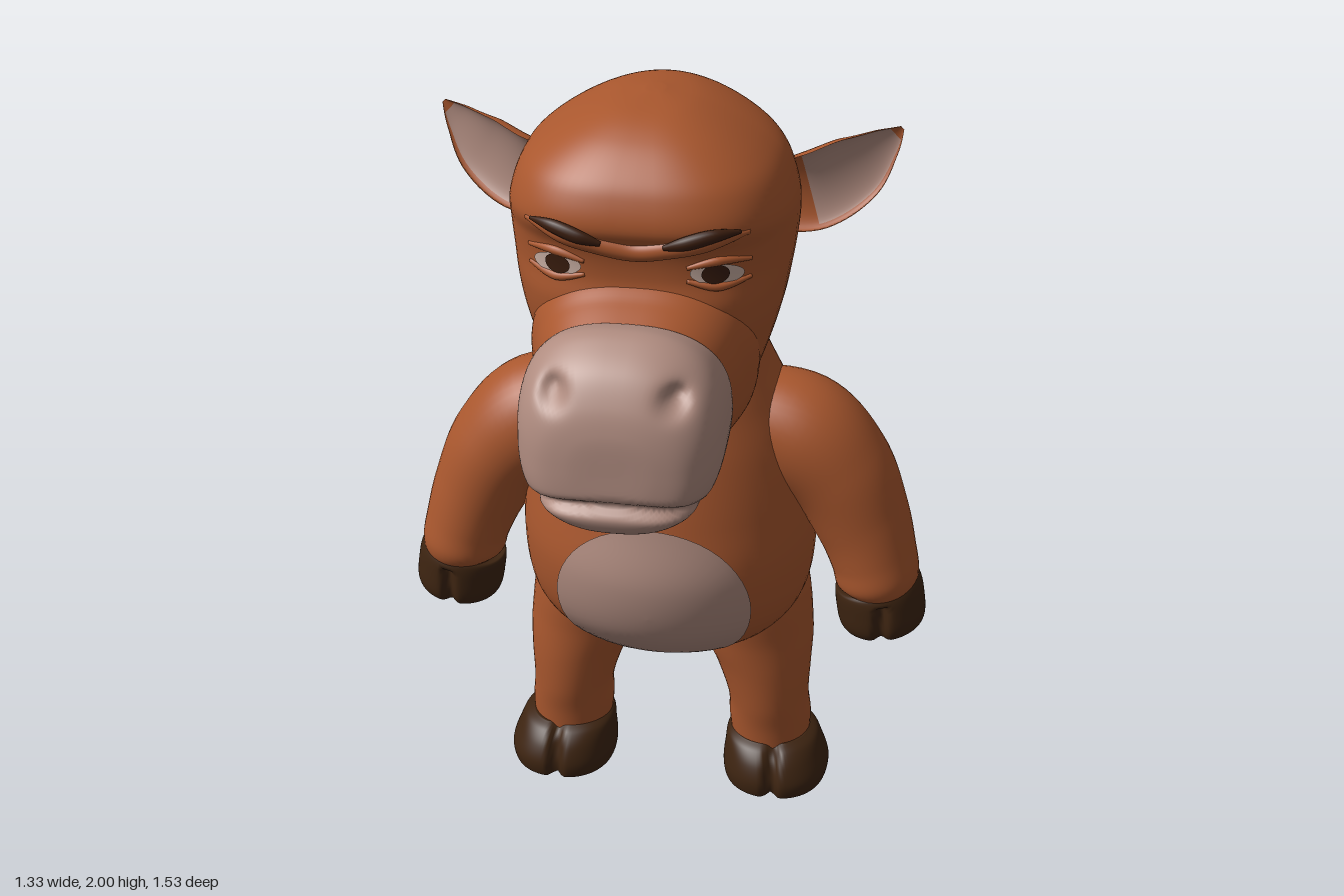
import * as THREE from 'three';

const mat = (name, color) => Object.assign(new THREE.MeshStandardMaterial({ color }), { name });
const V = (x, y, z) => new THREE.Vector3(x, y, z);
const gauss = (d, w) => Math.exp(-(d * d) / (w * w));

// Smooth interpolation between profile rows; t runs from 0 to rows.length - 1
function sample(rows, t) {
  const last = rows.length - 1, i = Math.min(Math.floor(t), last - 1), f = t - i;
  const at = k => rows[Math.max(0, Math.min(last, k))];
  const [a, b, c, d] = [at(i - 1), at(i), at(i + 1), at(i + 2)];
  return b.map((p, k) => p + 0.5 * f * (c[k] - a[k] + f * (2 * a[k] - 5 * p + 4 * c[k] - d[k]
    + f * (3 * (p - c[k]) + d[k] - a[k]))));
}
function refine(rows, steps) {
  const n = (rows.length - 1) * steps;
  return Array.from({ length: n + 1 }, (_, i) => sample(rows, i / steps));
}

// Skin over rings of points, closed at both ends and turned to face outward
function skin(rings, pick = () => 0) {
  const n = rings[0].length, pts = rings.flat(), lists = [[], []];
  const end = ring => pts.push(ring.reduce((s, p) => s.add(p), V(0, 0, 0)).divideScalar(n)) - 1;
  const a = end(rings[0]), b = end(rings[rings.length - 1]), top = (rings.length - 1) * n;
  for (let j = 0; j < n; j++) {
    const k = (j + 1) % n;
    lists[0].push(a, k, j, b, top + j, top + k);
    for (let i = 0; i < rings.length - 1; i++) {
      const p = i * n + j, q = i * n + k;
      lists[pick(i / (rings.length - 1), (j + 0.5) / n)].push(p, q, q + n, p, q + n, p + n);
    }
  }
  let volume = 0;
  for (const l of lists) for (let i = 0; i < l.length; i += 3)
    volume += pts[l[i]].dot(V(0, 0, 0).crossVectors(pts[l[i + 1]], pts[l[i + 2]]));
  if (volume < 0) lists.forEach(l => l.reverse());
  const g = new THREE.BufferGeometry().setFromPoints(pts);
  g.setIndex(lists.flat());
  if (lists[1].length) {
    g.addGroup(0, lists[0].length, 0);
    g.addGroup(lists[0].length, lists[1].length, 1);
  }
  g.computeVertexNormals();
  return g;
}

const power = (v, n) => Math.sign(v) * Math.abs(v) ** (2 / n);
function ring(seg, fn) {
  return Array.from({ length: seg }, (_, j) => {
    const a = j / seg * Math.PI * 2;
    return fn(Math.cos(a), Math.sin(a));
  });
}
// Upright loft, rows: [y, centre x, half width, back z, front z]
function upright(rows, { nf = 2, side = 1, seg = 64, steps = 8, tweak } = {}) {
  return skin(refine(rows, steps).map(([y, cx, rx, zb, zf]) => ring(seg, (c, s) => {
    const n = s > 0 ? nf : 2;
    const p = V(cx + rx * power(c, n), y, (zb + zf) / 2 + (zf - zb) / 2 * power(s, n));
    if (tweak) tweak(p);
    p.x *= side;
    return p;
  })));
}
// Forward loft with leaning rings, rows: [z at y 1.4, lean, bottom y, top y, half width]
function forward(rows, tweak) {
  return skin(refine(rows, 8).map(([z, k, yb, yt, rx]) => ring(96, (c, s) => {
    const y = (yb + yt) / 2 + (yt - yb) / 2 * power(s, 2.5);
    const p = V(rx * power(c, 2.5), y, z + k * (y - 1.4));
    if (tweak) tweak(p);
    return p;
  })));
}
// Sweep along a path, rows: [x, y, z, radius across, radius along ref]
function sweep(rows, ref, { side = 1, seg = 40, steps = 8, section = (c, s) => [c, s], pick, tweak } = {}) {
  const fine = refine(rows, steps), pos = fine.map(r => V(r[0], r[1], r[2]));
  return skin(fine.map((r, i) => {
    const t = pos[Math.min(i + 1, pos.length - 1)].clone().sub(pos[Math.max(i - 1, 0)]).normalize();
    const v = ref.clone().addScaledVector(t, -ref.dot(t)).normalize();
    const u = v.clone().cross(t);
    return ring(seg, (c, s) => {
      const [a, b] = section(c, s);
      const p = pos[i].clone().addScaledVector(u, a * r[3]).addScaledVector(v, b * r[4]);
      if (tweak) tweak(p);
      p.x *= side;
      return p;
    });
  }), pick);
}
// Front surface depth of an upright loft
function depth(rows, n, x, y) {
  let lo = 0, hi = rows.length - 1;
  for (let i = 0; i < 30; i++) {
    const m = (lo + hi) / 2;
    if (sample(rows, m)[0] < y) lo = m; else hi = m;
  }
  const [, , rx, zb, zf] = sample(rows, lo);
  return (zb + zf) / 2 + (zf - zb) / 2 * Math.max(0, 1 - Math.abs(x / rx) ** n) ** (1 / n);
}
// Thin oval face that follows the front of an upright loft
function oval(rows, n, cx, cy, rx, ry, turn, lift) {
  const R = 14, S = 48, pts = [], idx = [];
  for (let i = 0; i <= R; i++) for (let j = 0; j < S; j++) {
    const a = j / S * Math.PI * 2, p = Math.cos(a) * rx * i / R, q = Math.sin(a) * ry * i / R;
    const x = cx + p * Math.cos(turn) - q * Math.sin(turn), y = cy + p * Math.sin(turn) + q * Math.cos(turn);
    pts.push(V(x, y, depth(rows, n, x, y) + lift));
    if (i < R) {
      const k = i * S + j, m = i * S + (j + 1) % S;
      idx.push(k, k + S, m + S, k, m + S, m);
    }
  }
  const g = new THREE.BufferGeometry().setFromPoints(pts);
  g.setIndex(idx);
  g.computeVertexNormals();
  return g;
}

const BODY = [[0.41, 0, 0.05, -0.13, -0.02], [0.445, 0, 0.2, -0.22, 0.07], [0.5, 0, 0.29, -0.32, 0.17],
  [0.6, 0, 0.355, -0.415, 0.26], [0.75, 0, 0.375, -0.44, 0.295], [0.9, 0, 0.365, -0.42, 0.27],
  [1.05, 0, 0.335, -0.37, 0.235], [1.17, 0, 0.29, -0.315, 0.2], [1.28, 0, 0.245, -0.25, 0.17],
  [1.38, 0, 0.22, -0.19, 0.17], [1.46, 0, 0.18, -0.16, 0.15]];
const HEAD = [[1.17, 0, 0.12, 0, 0.25], [1.22, 0, 0.18, -0.09, 0.32], [1.3, 0, 0.235, -0.165, 0.36],
  [1.4, 0, 0.272, -0.195, 0.4], [1.5, 0, 0.3, -0.212, 0.43], [1.58, 0, 0.315, -0.22, 0.44],
  [1.65, 0, 0.325, -0.222, 0.43], [1.72, 0, 0.33, -0.222, 0.44], [1.78, 0, 0.325, -0.215, 0.472],
  [1.85, 0, 0.3, -0.19, 0.455], [1.9, 0, 0.255, -0.155, 0.42], [1.95, 0, 0.18, -0.09, 0.36],
  [1.985, 0, 0.1, 0.0, 0.28], [2.0, 0, 0.02, 0.12, 0.17]];
const FACE = 2.8;

export function createModel() {
  const model = new THREE.Group();
  const fur = mat('brown fur', 0xa9572e), pink = mat('dusty pink skin', 0xb08c80);
  const hoof = mat('dark hoof', 0x3d2411), white = mat('eye white', 0xcdb2a6);
  const dark = mat('brow and iris', 0x3a1d0e);
  const add = (name, geometry, material) => {
    const m = new THREE.Mesh(geometry, material);
    m.name = name;
    model.add(m);
    return m;
  };

  // Torso, belly patch and tail
  add('torso', upright(BODY), fur);
  add('bellyPatch', oval(BODY, 2, 0, 0.667, 0.245, 0.245, 0, 0.007), pink);
  add('tail', sweep([[0, 0.72, -0.36, 0.1, 0.09], [0, 0.67, -0.46, 0.075, 0.07], [0, 0.635, -0.56, 0.058, 0.05],
    [0, 0.63, -0.64, 0.052, 0.04], [0, 0.665, -0.71, 0.04, 0.033], [0, 0.72, -0.742, 0.026, 0.025],
    [0, 0.77, -0.752, 0.006, 0.006]], V(1, 0, 0)), fur);

  // Head, snout, muzzle with mouth crease and nostrils, chin
  add('head', upright(HEAD, { nf: FACE, seg: 80 }), fur);
  add('snout', forward([[0.12, 0.2, 1.21, 1.64, 0.25], [0.3, 0.3, 1.175, 1.65, 0.262],
    [0.4, 0.33, 1.17, 1.612, 0.24], [0.47, 0.34, 1.175, 1.582, 0.216]]), fur);
  add('muzzle', forward([[0.45, 0.34, 1.19, 1.58, 0.215], [0.465, 0.34, 1.18, 1.592, 0.226],
    [0.56, 0.15, 1.17, 1.606, 0.232], [0.64, 0, 1.16, 1.59, 0.228], [0.7, -0.02, 1.165, 1.55, 0.208],
    [0.74, -0.04, 1.195, 1.49, 0.165], [0.757, -0.04, 1.26, 1.43, 0.1], [0.76, -0.02, 1.34, 1.37, 0.02]], p => {
    const crease = gauss(p.y - 1.25 + 0.3 * p.x * p.x, 0.016) * Math.min(1, Math.max(0, (p.z - 0.48) / 0.15));
    p.z -= 0.03 * crease;
    p.x *= 1 - 0.05 * crease;
    const nostril = gauss(Math.hypot(Math.abs(p.x) - 0.135, p.y - 1.505), 0.028);
    if (p.z > 0.6) p.z -= 0.04 * nostril;
  }), pink);
  const chin = add('chin', new THREE.SphereGeometry(1, 40, 24), fur);
  chin.scale.set(0.175, 0.045, 0.2);
  chin.position.set(0, 1.195, 0.46);

  // Brow ridge running in a V across the face
  const ridge = [[-0.25, 1.775], [-0.16, 1.765], [-0.07, 1.74], [0, 1.728], [0.07, 1.74], [0.16, 1.765], [0.25, 1.775]];
  add('browRidge', sweep(ridge.map(([x, y], i) => {
    const r = i % 6 ? 0.024 : 0.006;
    return [x, y, depth(HEAD, FACE, x, y) - 0.004, r, r];
  }), V(0, 0, 1)), fur);

  for (const side of [1, -1]) {
    const name = part => (side > 0 ? 'left' : 'right') + part;

    // Eyes, lids and brows
    add(name('Eye'), oval(HEAD, FACE, side * 0.18, 1.672, 0.058, 0.026, -side * 0.08, 0.004), white);
    add(name('Iris'), oval(HEAD, FACE, side * 0.178, 1.674, 0.03, 0.024, 0, 0.008), dark);
    const lids = [[1, 1.688, 1.705, 1.698], [0, 1.655, 1.64, 1.652]];
    for (const [upper, ...ys] of lids) {
      const rows = ys.map((y, i) => {
        const x = 0.115 + i * 0.068, r = i === 1 ? 0.011 : 0.005;
        return [x, y, depth(HEAD, FACE, x, y), r, r];
      });
      add(name(upper ? 'UpperLid' : 'LowerLid'), sweep(rows, V(0, 0, 1), { side, seg: 16 }), fur);
    }
    const brow = [[0.07, 1.752, 0.006], [0.12, 1.768, 0.016], [0.18, 1.784, 0.015], [0.235, 1.785, 0.004]];
    add(name('Brow'), sweep(brow.map(([x, y, r]) =>
      [x, y, depth(HEAD, FACE, x, y) + 0.012, r, r * 0.8]), V(0, 0, 1), { side, seg: 16 }), dark);

    // Cupped ear with a pink hollow
    add(name('Ear'), sweep([[0.26, 1.71, 0.06, 0.085, 0.08], [0.36, 1.73, 0.05, 0.1, 0.085],
      [0.45, 1.775, 0.01, 0.088, 0.07], [0.51, 1.825, -0.03, 0.045, 0.035], [0.545, 1.86, -0.05, 0.006, 0.006]],
    V(0.45, 0, 0.9), {
      side, seg: 48, section: (c, s) => [c, s > 0 ? -0.45 * s : s],
      pick: (t, a) => (t > 0.2 && t < 0.86 && a > 0.06 && a < 0.44 ? 1 : 0),
    }), [fur, pink]);

    // Arm and hand hoof
    add(name('Arm'), sweep([[0.16, 1.1, -0.05, 0.11, 0.12], [0.32, 1.05, -0.05, 0.148, 0.15],
      [0.425, 0.95, -0.05, 0.138, 0.148], [0.49, 0.82, -0.045, 0.122, 0.135], [0.525, 0.72, -0.035, 0.11, 0.125],
      [0.538, 0.66, -0.03, 0.106, 0.122], [0.54, 0.635, -0.03, 0.09, 0.1]], V(0, 0, 1), { side }), fur);
    add(name('HandHoof'), sweep([[0.534, 0.66, -0.035, 0.08, 0.08], [0.54, 0.642, -0.035, 0.108, 0.112],
      [0.549, 0.585, -0.035, 0.113, 0.117], [0.556, 0.535, -0.035, 0.108, 0.112], [0.559, 0.513, -0.035, 0.085, 0.09],
      [0.56, 0.505, -0.035, 0.03, 0.03]], V(0, 0, 1), {
      side, seg: 80, tweak: p => { if (p.z > 0 && p.y < 0.62) p.z -= 0.025 * gauss(p.x - 0.56, 0.014); },
    }), hoof);

    // Leg and foot hoof
    add(name('Leg'), upright([[0.08, 0.27, 0.1, -0.19, 0.02], [0.17, 0.267, 0.108, -0.205, 0.03],
      [0.25, 0.262, 0.106, -0.197, 0.045], [0.35, 0.248, 0.124, -0.215, 0.056], [0.45, 0.225, 0.148, -0.26, 0.065],
      [0.6, 0.2, 0.15, -0.3, 0.08], [0.68, 0.19, 0.09, -0.22, 0.02]], { side, seg: 48 }), fur);
    add(name('FootHoof'), upright([[0, 0.288, 0.122, -0.215, 0.075], [0.008, 0.288, 0.135, -0.225, 0.086],
      [0.045, 0.288, 0.14, -0.228, 0.09], [0.09, 0.282, 0.13, -0.222, 0.075], [0.122, 0.276, 0.12, -0.213, 0.05],
      [0.136, 0.272, 0.1, -0.195, 0.025]], {
      side, seg: 96, nf: 2.3, tweak: p => { if (p.z > 0) p.z -= 0.03 * gauss(p.x - 0.29, 0.014); },
    }), hoof);
  }
  return model;
}
